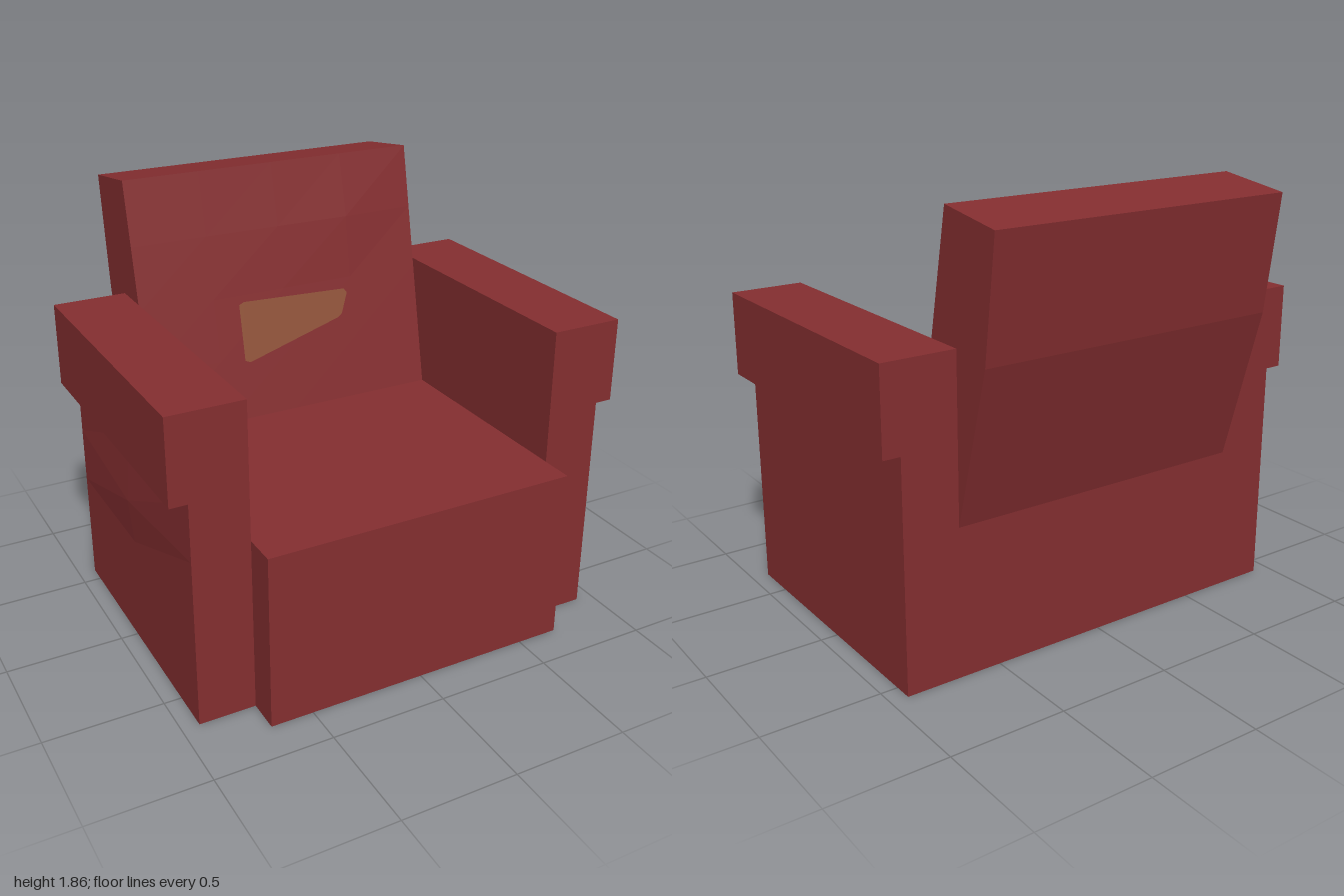
import * as THREE from 'three';

export function createModel() {
  const group = new THREE.Group();
  const red = new THREE.MeshStandardMaterial({ color: 0x842e30, flatShading: true });
  red.name = 'red upholstery';
  const patchColor = new THREE.MeshStandardMaterial({ color: 0x8f5238, side: THREE.DoubleSide });
  patchColor.name = 'faded ochre';

  const add = (name, geometry, material = red) => {
    const mesh = new THREE.Mesh(geometry, material);
    mesh.name = name;
    group.add(mesh);
    return mesh;
  };
  // Box given by its extents along each axis
  const box = (name, [x0, x1], [y0, y1], [z0, z1], segments = [1, 1, 1]) => {
    const mesh = add(name, new THREE.BoxGeometry(x1 - x0, y1 - y0, z1 - z0, ...segments));
    mesh.geometry.translate((x0 + x1) / 2, (y0 + y1) / 2, (z0 + z1) / 2);
    return mesh;
  };

  // Seat block
  box('seat', [-0.683, 0.683], [0, 0.76], [-0.58, 0.83]);

  // Side panels and overhanging armrests
  box('leftPanel', [0.683, 0.925], [0, 0.98], [-0.58, 0.685]);
  box('leftArmrest', [0.683, 1], [0.98, 1.342], [-0.58, 0.685]);
  const rightPanel = box('rightPanel', [-0.925, -0.683], [0, 0.98], [-0.58, 0.685], [1, 4, 2]);
  box('rightArmrest', [-1, -0.683], [0.98, 1.342], [-0.58, 0.685]);

  // Slight bulge on the outside of the right panel
  const p = rightPanel.geometry.attributes.position;
  for (let i = 0; i < p.count; i++) {
    if (p.getX(i) < -0.9 && Math.abs(p.getZ(i) - 0.0525) < 0.01 && Math.abs(p.getY(i) - 0.735) < 0.01) {
      p.setXYZ(i, -0.943, 0.69, 0.05);
    }
  }
  rightPanel.geometry.computeVertexNormals();

  // Backrest: a box bent to follow its front and rear lines
  const frontZ = (y) => -0.29 - 0.2055 * (y - 0.76);
  const rear = [[0.64, -0.58], [1.31, -0.765], [1.81, -0.83]];
  const back = new THREE.BoxGeometry(1.366, 1, 1, 4, 4, 1);
  const b = back.attributes.position;
  for (let i = 0; i < b.count; i++) {
    const x = b.getX(i), t = b.getY(i) + 0.5;
    if (b.getZ(i) > 0) {
      const y = 0.76 + 1.095 * t;
      // Soft padding in the upper part of the front
      const bulge = Math.abs(t - 0.75) < 0.01 && Math.abs(x) < 0.6 ? 0.007 + 0.015 * x : 0;
      b.setXYZ(i, x, y, frontZ(y) + bulge);
    } else {
      const k = t < 0.5 ? 0 : 1, f = 2 * t - k;
      b.setXYZ(i, x,
        THREE.MathUtils.lerp(rear[k][0], rear[k + 1][0], f),
        THREE.MathUtils.lerp(rear[k][1], rear[k + 1][1], f));
    }
  }
  back.computeVertexNormals();
  add('backrest', back);

  // Faded patch lying on the backrest
  const outline = [[-0.225, 1.02], [-0.2, 1.01], [0.26, 1.135], [0.28, 1.15],
    [0.315, 1.24], [0.3, 1.26], [-0.2, 1.278], [-0.225, 1.268]];
  const patch = new THREE.ShapeGeometry(new THREE.Shape(outline.map(([x, y]) => new THREE.Vector2(x, y))));
  const q = patch.attributes.position;
  for (let i = 0; i < q.count; i++) q.setZ(i, frontZ(q.getY(i)) + 0.004);
  patch.computeVertexNormals();
  add('backrestPatch', patch, patchColor);

  return group;
}
